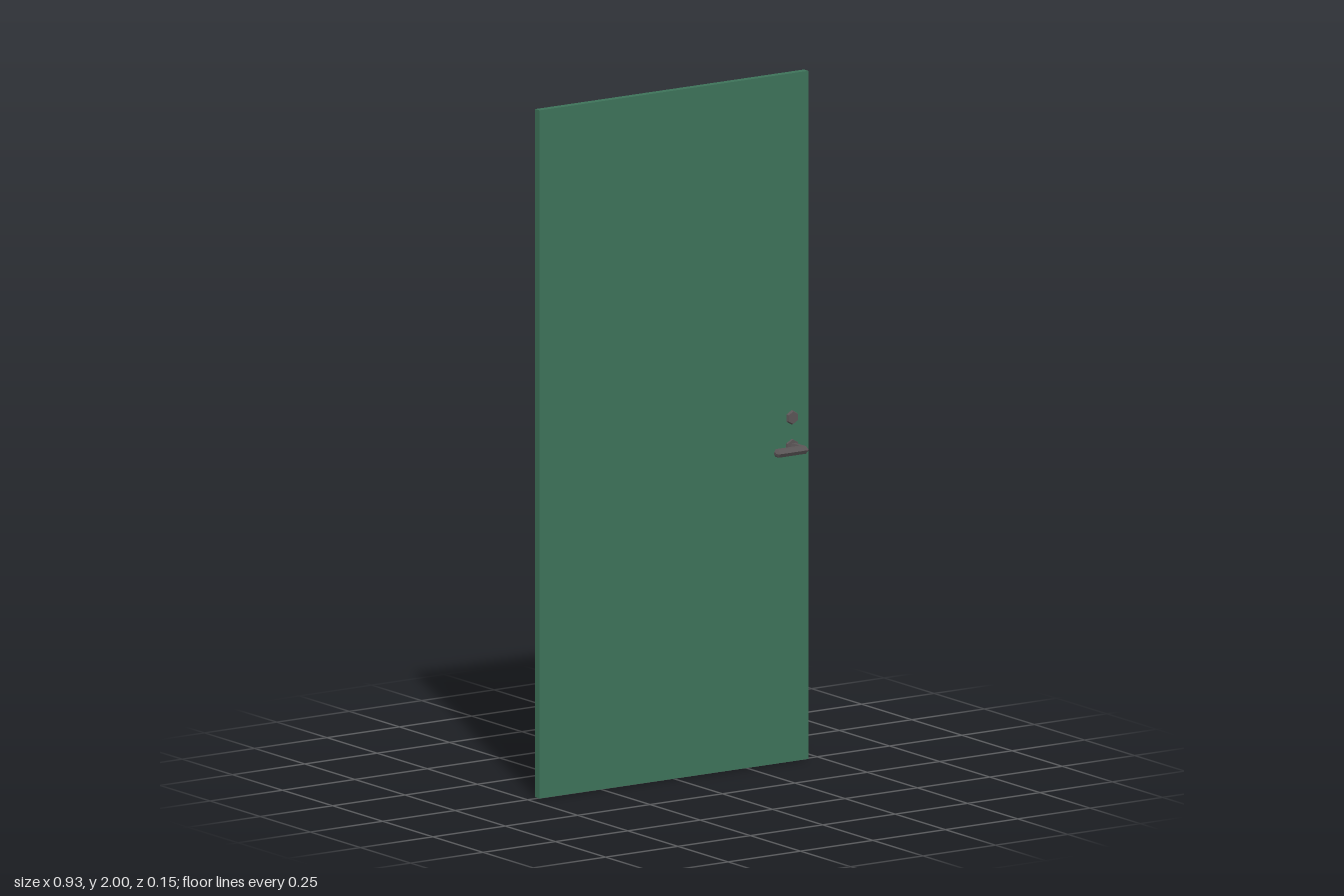
import * as THREE from 'three';

// Sweeps a hexagonal section through rings [centreX, centreZ, halfX, halfZ, halfHeight]
function hexSweep(rings) {
  const pos = [], index = [];
  for (const [cx, cz, hx, hz, hy] of rings) {
    for (let k = 0; k < 6; k++) {
      const c = Math.cos(k * Math.PI / 3), s = Math.sin(k * Math.PI / 3);
      pos.push(cx + c * hx, s * hy, cz + c * hz);
    }
  }
  for (let r = 0; r < rings.length - 1; r++) {
    for (let k = 0; k < 6; k++) {
      const a = r * 6 + k, b = r * 6 + (k + 1) % 6;
      index.push(a, b, b + 6, a, b + 6, a + 6);
    }
  }
  const e = (rings.length - 1) * 6;
  for (let k = 1; k < 5; k++) index.push(0, k + 1, k, e, e + k, e + k + 1); // end caps
  const g = new THREE.BufferGeometry();
  g.setAttribute('position', new THREE.Float32BufferAttribute(pos, 3));
  g.setIndex(index);
  const flat = g.toNonIndexed();
  flat.computeVertexNormals();
  return flat;
}

// Six-sided plate with a bevelled rim, facing +z
function hexPlate(outer, inner, z0, z1) {
  const depth = z1 - z0;
  const g = new THREE.CylinderGeometry(inner, outer, depth, 6).toNonIndexed();
  g.rotateX(Math.PI / 2);
  g.translate(0, 0, z0 + depth / 2);
  g.computeVertexNormals();
  return g;
}

export function createModel() {
  const green = new THREE.MeshStandardMaterial({ color: 0x3d7259 });
  green.name = 'green paint';
  const metal = new THREE.MeshStandardMaterial({ color: 0x5a5556 });
  metal.name = 'dark metal';

  const model = new THREE.Group();
  model.name = 'door';
  const add = (parent, name, geometry, material, x, y) => {
    const m = new THREE.Mesh(geometry, material);
    m.name = name;
    m.position.set(x, y, 0);
    parent.add(m);
    return m;
  };

  // Door leaf, very slightly ajar
  const leaf = add(model, 'doorLeaf', new THREE.BoxGeometry(0.926, 2, 0.022), green, 0, 1);
  leaf.position.z = -0.003;
  leaf.rotation.y = -0.004;

  // Shaft, mitred corner, lever and blunt tip
  const lever = hexSweep([
    [0.408, 0.0, 0.011, 0.0, 0.013],
    [0.408, 0.062, 0.011, 0.015, 0.013],
    [0.320, 0.062, 0.0, 0.015, 0.013],
    [0.312, 0.062, 0.0, 0.006, 0.005],
  ]);
  const rosette = hexPlate(0.025, 0.021, 0.004, 0.016);
  const lock = hexPlate(0.0245, 0.018, 0.004, 0.018);

  // The same hardware on both faces
  for (const side of [1, -1]) {
    const set = new THREE.Group();
    set.name = side > 0 ? 'frontHardware' : 'backHardware';
    add(set, 'leverHandle', lever, metal, 0, 0.915);
    add(set, 'handleRosette', rosette, metal, 0.406, 0.915);
    add(set, 'lockCylinder', lock, metal, 0.406, 1.0);
    set.scale.z = side;
    set.position.z = -0.001;
    model.add(set);
  }
  return model;
}
